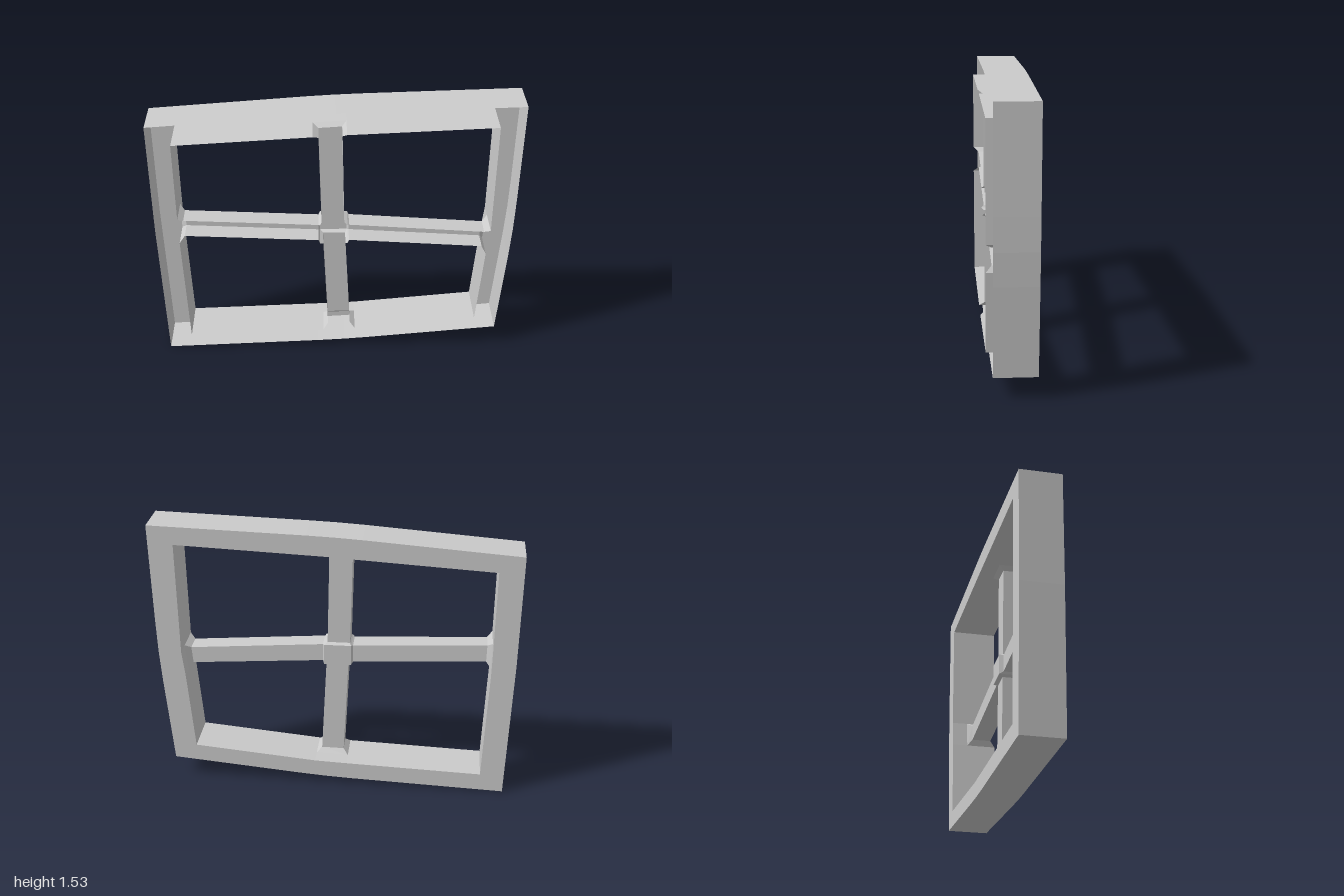
import * as THREE from 'three';

const BACK = -0.13, RIM = 0.10, FRONT = 0.13;
const material = new THREE.MeshStandardMaterial({ color: 0xcccccc, flatShading: true, side: THREE.DoubleSide });

// Mesh made of flat quads, each given as four [x, y, z] corners
function quadMesh(name, quads) {
  const pos = [];
  for (const [a, b, c, d] of quads) pos.push(...a, ...b, ...c, ...a, ...c, ...d);
  const geo = new THREE.BufferGeometry();
  geo.setAttribute('position', new THREE.Float32BufferAttribute(pos, 3));
  geo.computeVertexNormals();
  const mesh = new THREE.Mesh(geo, material);
  mesh.name = name;
  return mesh;
}

const vec = (pts) => pts.map(([x, y]) => new THREE.Vector2(x, y));

// Crooked outlines, counter-clockwise from the lower right-hand corner of the model
const outer = [
  [-0.96, 0.005], [-0.1, 0.039], [0.05, 0.047], [0.2, 0.059], [0.92, 0.125],
  [0.965, 0.62], [0.978, 0.8], [0.985, 0.98], [1, 1.54],
  [0.15, 1.515], [0, 1.509], [-0.15, 1.5], [-1, 1.437], [-0.99, 0.8],
];
const opening = [
  [-0.83, 0.11], [-0.07, 0.138], [0.11, 0.146], [0.795, 0.21],
  [0.833, 0.65], [0.851, 0.8], [0.86, 1.435],
  [0.06, 1.4], [-0.12, 1.389], [-0.865, 1.345], [-0.86, 0.89], [-0.857, 0.74],
];
const sockets = [1, 4, 7, 10]; // opening edges where a bar enters the wall
const FLARE_BACK = -0.04, BAR_BACK = -0.012, HUB_BACK = -0.035;

// Four bars: end at the flare, then end at the hub, as pairs of corners
const bars = [
  { name: 'lowerBar', wall: [[-0.043, 0.166], [0.082, 0.168]], hub: [[-0.068, 0.71], [0.055, 0.71]] },
  { name: 'leftBar', wall: [[0.812, 0.682], [0.82, 0.776]], hub: [[0.074, 0.732], [0.074, 0.831]] },
  { name: 'upperBar', wall: [[0.037, 1.378], [-0.09, 1.37]], hub: [[0.048, 0.846], [-0.077, 0.846]] },
  { name: 'rightBar', wall: [[-0.832, 0.866], [-0.83, 0.768]], hub: [[-0.094, 0.831], [-0.094, 0.732]] },
];
const hubCorners = [[-0.085, 0.72], [0.065, 0.72], [0.065, 0.838], [-0.085, 0.838]];

// Open-fronted channel through a row of stations { a, b, back, front }
function channel(name, stations) {
  const rows = stations.map(({ a, b, back, front }) => [[...a, front], [...a, back], [...b, back], [...b, front]]);
  const quads = [];
  for (let s = 0; s < rows.length - 1; s++) {
    for (let i = 0; i < 3; i++) {
      quads.push([rows[s][i], rows[s + 1][i], rows[s + 1][i + 1], rows[s][i + 1]]);
    }
  }
  return quadMesh(name, quads);
}

export function createModel() {
  const model = new THREE.Group();
  model.name = 'crookedWindowFrame';

  // Back face of the frame, turned to face -z
  const ring = new THREE.Shape(vec(outer));
  ring.holes.push(new THREE.Path(vec(opening)));
  const ringGeo = new THREE.ShapeGeometry(ring);
  const index = ringGeo.index.array;
  for (let i = 0; i < index.length; i += 3) [index[i], index[i + 1]] = [index[i + 1], index[i]];
  ringGeo.computeVertexNormals();
  ringGeo.translate(0, 0, BACK);
  const backFace = new THREE.Mesh(ringGeo, material);
  backFace.name = 'frameBack';
  model.add(backFace);

  // Outer walls
  model.add(quadMesh('outerWalls', outer.map((p, i) => {
    const q = outer[(i + 1) % outer.length];
    return [[...p, BACK], [...q, BACK], [...q, RIM], [...p, RIM]];
  })));

  // Inner walls stand proud of the rim and are notched at the sockets
  model.add(quadMesh('innerWalls', opening.map((p, i) => {
    const q = opening[(i + 1) % opening.length];
    const top = sockets.includes(i) ? FLARE_BACK : FRONT;
    return [[...q, BACK], [...p, BACK], [...p, top], [...q, top]];
  })));

  // Crossing bars, flared at the wall and again at the hub
  bars.forEach(({ name, wall, hub }, i) => {
    const s = sockets[i];
    model.add(channel(name, [
      { a: opening[s], b: opening[s + 1], back: FLARE_BACK, front: FRONT },
      { a: wall[0], b: wall[1], back: BAR_BACK, front: RIM },
      { a: hub[0], b: hub[1], back: BAR_BACK, front: RIM },
      { a: hubCorners[i], b: hubCorners[(i + 1) % 4], back: HUB_BACK, front: 0.115 },
    ]));
  });

  // Back plate of the hub
  model.add(quadMesh('hubBack', [[...hubCorners].reverse().map((p) => [...p, HUB_BACK])]));

  return model;
}
